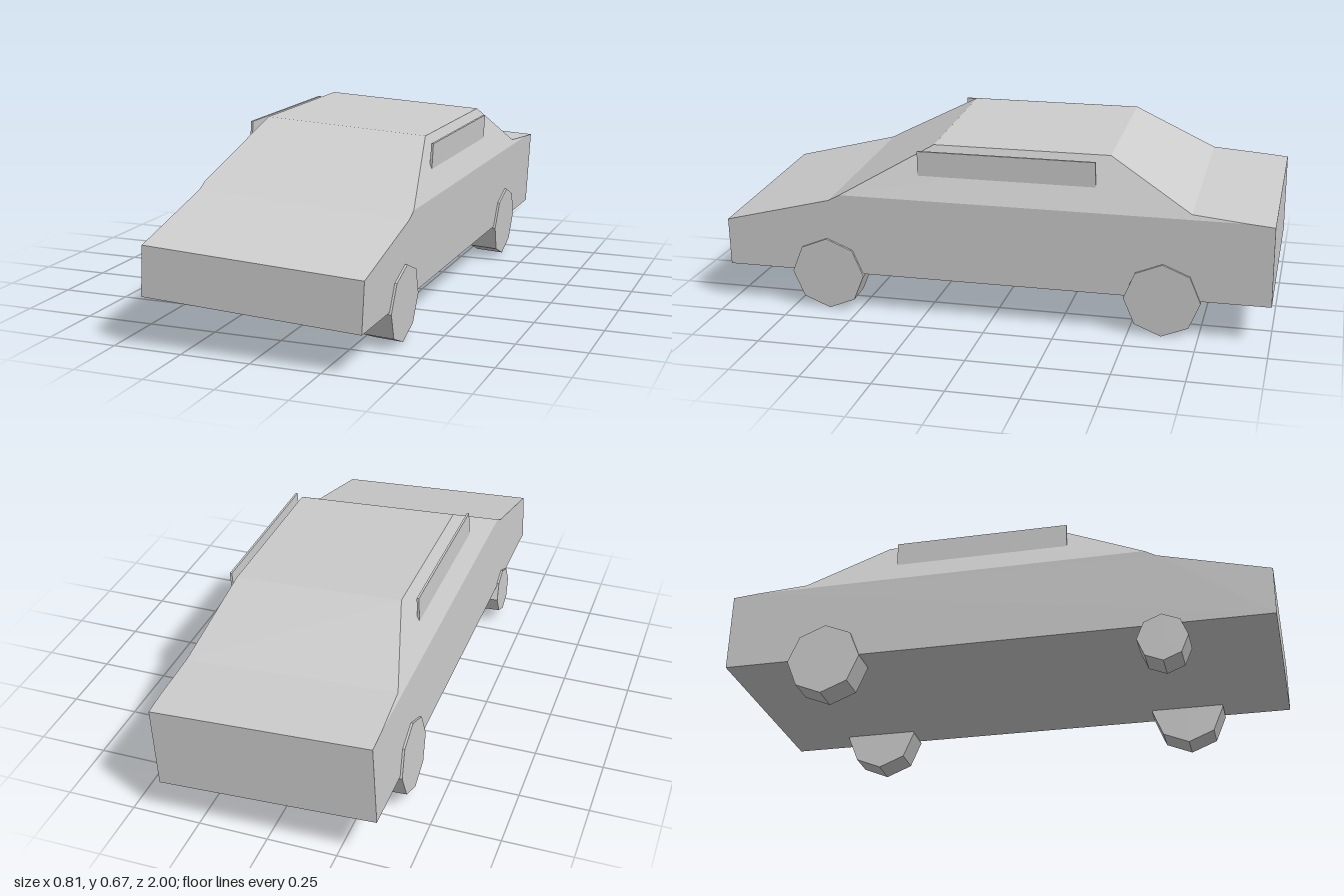
import * as THREE from 'three';

const BELT = 0.466, ROOF = 0.652, HALF = 0.39, ROOF_HALF = 0.3055;

// Extrudes a side profile of [z, y] points across the width of the car.
function acrossWidth(points) {
  const shape = new THREE.Shape(points.map(([z, y]) => new THREE.Vector2(z, y)));
  const geometry = new THREE.ExtrudeGeometry(shape, { depth: HALF * 2, bevelEnabled: false });
  return geometry.translate(0, 0, -HALF).rotateY(-Math.PI / 2);
}

export function createModel() {
  const grey = new THREE.MeshStandardMaterial({ color: 0xcccccc, flatShading: true });
  grey.name = 'plain grey';

  const car = new THREE.Group();
  car.name = 'car';
  const add = (name, geometry, x = 0, y = 0, z = 0) => {
    const mesh = new THREE.Mesh(geometry, grey);
    mesh.name = name;
    mesh.position.set(x, y, z);
    car.add(mesh);
  };

  // Upright-sided body below the belt line
  add('lowerBody', acrossWidth([
    [1, 0.164], [1, 0.341], [0.6, 0.443], [0.558, BELT],
    [-0.909, BELT], [-1, 0.458], [-1, 0.164],
  ]));

  // Cabin and rear deck, narrowing toward the roof
  const cabin = acrossWidth([
    [0.558, BELT], [0.22, ROOF], [-0.42, ROOF], [-0.715, 0.483], [-0.909, BELT],
  ]);
  const p = cabin.attributes.position;
  for (let i = 0; i < p.count; i++) {
    const t = (p.getY(i) - BELT) / (ROOF - BELT);
    p.setX(i, p.getX(i) * THREE.MathUtils.lerp(1, ROOF_HALF / HALF, t));
  }
  cabin.computeVertexNormals();
  add('cabin', cabin);

  // Octagonal wheels; the right front one is smaller
  const wheels = [
    ['leftFrontWheel', 1, 0.615, 0.1365],
    ['leftRearWheel', 1, -0.62, 0.1365],
    ['rightFrontWheel', -1, 0.61, 0.09],
    ['rightRearWheel', -1, -0.62, 0.1365],
  ];
  for (const [name, side, z, r] of wheels) {
    const wheel = new THREE.CylinderGeometry(r, r, 0.106, 8).rotateZ(Math.PI / 2);
    add(name, wheel, side * 0.345, 0.0212 + r, z);
  }

  // Thin upright side window plates
  for (const [name, side] of [['leftWindow', 1], ['rightWindow', -1]]) {
    add(name, new THREE.BoxGeometry(0.008, 0.095, 0.645), side * 0.349, 0.5905, -0.052);
  }

  // The whole car leans slightly toward its left
  car.position.x = -0.009;
  car.rotation.z = -0.0515;
  const model = new THREE.Group();
  model.name = 'leaningCar';
  model.add(car);
  return model;
}
